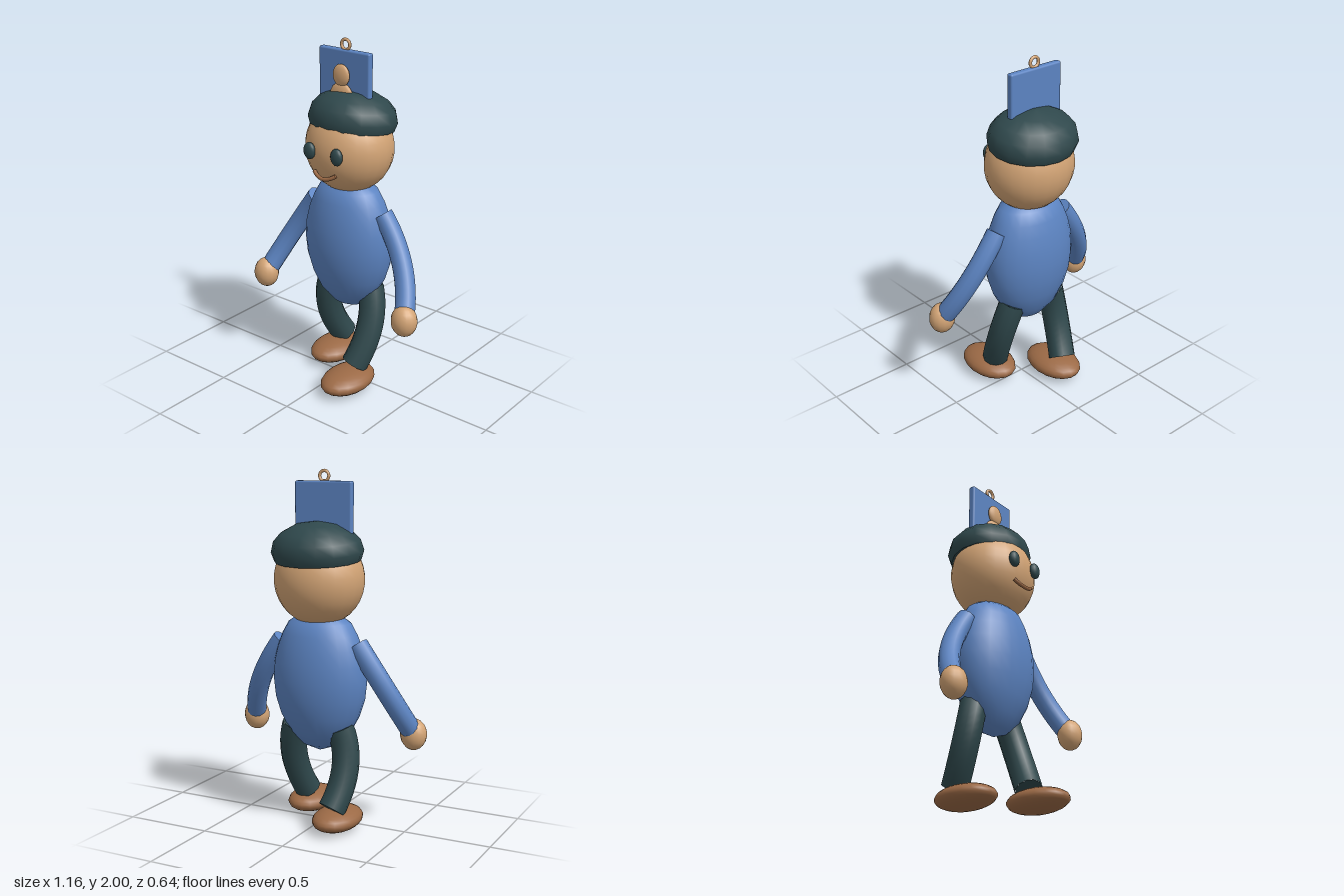
import * as THREE from 'three';
import { RoundedBoxGeometry } from 'three/addons/geometries/RoundedBoxGeometry.js';

const V = (x, y, z) => new THREE.Vector3(x, y, z);
const material = (name, color) => {
  const m = new THREE.MeshStandardMaterial({ color });
  m.name = name;
  return m;
};

export function createModel() {
  const model = new THREE.Group();
  model.name = 'walkingFigure';
  const blue = material('blue', 0x5c84c2);
  const skin = material('skin', 0xd4a576);
  const dark = material('darkGreen', 0x2f484c);
  const brown = material('brown', 0x9c6a46);

  const add = (name, geometry, mat, x = 0, y = 0, z = 0, parent = model) => {
    const mesh = new THREE.Mesh(geometry, mat);
    mesh.name = name;
    mesh.position.set(x, y, z);
    parent.add(mesh);
    return mesh;
  };
  const ellipsoid = (name, mat, [x, y, z], [rx, ry, rz], seg = 20) =>
    add(name, new THREE.SphereGeometry(1, seg, Math.round(seg * 0.7)).scale(rx, ry, rz), mat, x, y, z);
  const lathe = (profile, seg, depth) =>
    new THREE.LatheGeometry(profile.map(([r, y]) => new THREE.Vector2(r, y)), seg).scale(1, 1, depth);

  // Curved limb with flat ends
  const limb = (name, mat, points, radius) => {
    const group = new THREE.Group();
    group.name = name;
    const curve = new THREE.QuadraticBezierCurve3(...points);
    add(name + 'Tube', new THREE.TubeGeometry(curve, 12, radius, 12, false), mat, 0, 0, 0, group);
    for (const [t, dir] of [[0, -1], [1, 1]]) {
      const p = curve.getPoint(t);
      const cap = add(name + 'End', new THREE.CircleGeometry(radius, 12), mat, p.x, p.y, p.z, group);
      cap.lookAt(p.clone().addScaledVector(curve.getTangent(t), dir));
    }
    model.add(group);
  };

  // Egg-shaped torso and head
  add('torso', lathe([[0, 0.43], [0.1, 0.467], [0.18, 0.54], [0.235, 0.64], [0.267, 0.74], [0.278, 0.84],
    [0.272, 0.94], [0.25, 1.03], [0.222, 1.1], [0.185, 1.165], [0.1, 1.22], [0, 1.24]], 24, 0.7), blue, 0, 0, -0.06);
  ellipsoid('head', skin, [0, 1.405, -0.065], [0.257, 0.258, 0.235], 24);

  // Cap, tipped towards the back
  const cap = add('cap', lathe([[0, -0.04], [0.242, -0.04], [0.245, -0.04], [0.262, 0.01], [0.245, 0.07],
    [0.2, 0.118], [0.12, 0.158], [0, 0.175]], 16, 0.886), dark, 0, 1.55, -0.09);
  cap.rotation.x = -0.11;

  // Face
  for (const side of [-1, 1]) {
    ellipsoid(side > 0 ? 'leftEye' : 'rightEye', dark, [side * 0.094, 1.416, 0.167], [0.038, 0.048, 0.025], 14);
  }
  limb('mouth', brown, [V(-0.074, 1.3, 0.15), V(0, 1.245, 0.185), V(0.074, 1.3, 0.15)], 0.011);

  // Plaque on the cap, with hanging ring and small bust
  add('plaque', new RoundedBoxGeometry(0.345, 0.34, 0.04, 2, 0.011), blue, -0.03, 1.77, -0.067);
  add('ring', new THREE.TorusGeometry(0.028, 0.009, 8, 20), skin, -0.03, 1.966, -0.066);
  ellipsoid('bustHead', skin, [-0.03, 1.805, -0.027], [0.056, 0.062, 0.022], 16);
  ellipsoid('bustShoulders', skin, [-0.03, 1.685, -0.03], [0.08, 0.08, 0.026], 16);

  // Arms and hands
  for (const side of [-1, 1]) {
    const label = side > 0 ? 'left' : 'right';
    limb(label + 'Arm', blue, [V(side * 0.235, 1.055, -0.063), V(side * 0.425, 0.8, -0.075), V(side * 0.5, 0.565, 0.085)], 0.058);
    ellipsoid(label + 'Hand', skin, [side * 0.507, 0.547, 0.095], [0.076, 0.09, 0.07], 16);
  }

  // Striding legs and shoes: left forward, right back
  for (const side of [-1, 1]) {
    const label = side > 0 ? 'left' : 'right';
    const ankle = side > 0 ? 0.07 : -0.2;
    limb(label + 'Leg', dark, [V(side * 0.14, 0.58, -0.085), V(side * 0.217, 0.37, -0.055), V(side * 0.145, 0.14, ankle)], 0.077);
    ellipsoid(label + 'Shoe', brown, [side * 0.145, 0.07, side > 0 ? 0.13 : -0.125], [0.131, 0.066, 0.191], 18);
  }
  return model;
}
